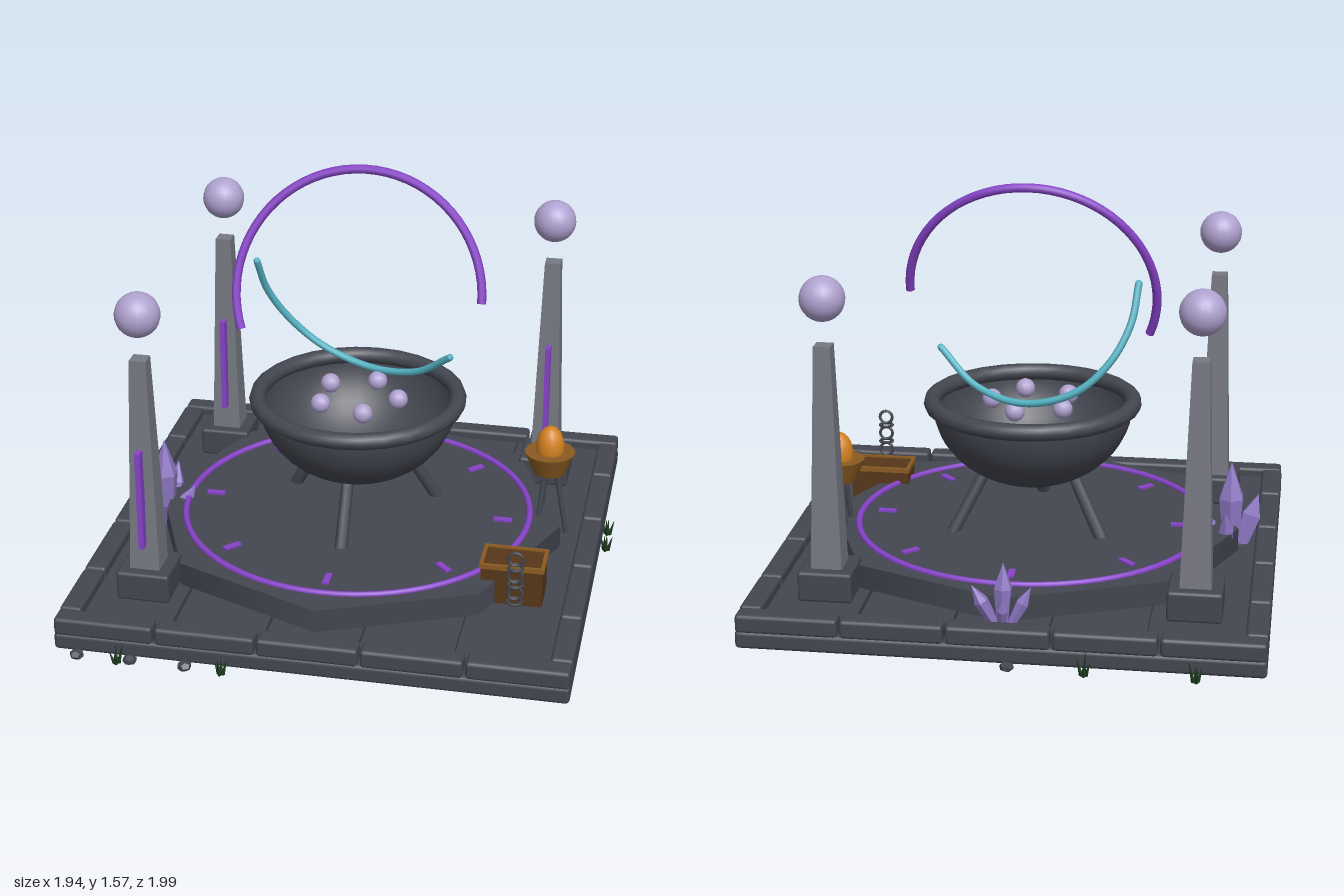
import * as THREE from 'three';
import { RoundedBoxGeometry } from 'three/addons/geometries/RoundedBoxGeometry.js';

const CX = -0.02; // x of the altar's middle

const mat = (name, color, extra = {}) => {
  const m = new THREE.MeshStandardMaterial({ color, ...extra });
  m.name = name;
  return m;
};

export function createModel() {
  const stone = mat('dark stone', 0x444751, { side: THREE.DoubleSide });
  const pillar = mat('grey stone', 0x777983, { flatShading: true });
  const purple = mat('purple glow', 0x8743c8);
  const teal = mat('teal glow', 0x55b3c4);
  const lavender = mat('lavender', 0xb0a2d0);
  const crystalMat = mat('crystal violet', 0x8d76c2, { flatShading: true });
  const orange = mat('ember orange', 0xd4821f);
  const bronze = mat('bronze', 0x8a5a22, { side: THREE.DoubleSide });
  const wood = mat('dark wood', 0x573719);
  const green = mat('dark green', 0x1d3a1f, { flatShading: true });

  const model = new THREE.Group();
  model.name = 'ritualAltar';

  const add = (name, geo, material, x = 0, y = 0, z = 0, parent = model) => {
    const m = new THREE.Mesh(geo, material);
    m.name = name;
    m.position.set(x, y, z);
    parent.add(m);
    return m;
  };
  const group = (name, x, y, z) => {
    const g = new THREE.Group();
    g.name = name;
    g.position.set(x, y, z);
    model.add(g);
    return g;
  };
  // Cylinder between two points
  const rod = (name, a, b, ra, rb, material, parent, sides = 10) => {
    const d = b.clone().sub(a);
    const m = add(name, new THREE.CylinderGeometry(rb, ra, d.length(), sides), material, 0, 0, 0, parent);
    m.position.copy(a).add(b).multiplyScalar(0.5);
    m.quaternion.setFromUnitVectors(new THREE.Vector3(0, 1, 0), d.normalize());
    return m;
  };
  const V = (x, y, z) => new THREE.Vector3(x, y, z);

  // Base: bottom slab, floor planks and a rim of rounded blocks
  const base = group('base', CX, 0, 0);
  add('bottomSlab', new RoundedBoxGeometry(1.89, 0.067, 1.89, 2, 0.015), stone, 0, 0.046, 0, base);
  for (let i = 0; i < 5; i++) {
    const t = i - 2;
    add('floorPlank', new THREE.BoxGeometry(0.335, 0.04, 1.74), stone, t * 0.348, 0.085, 0, base);
    for (const s of [-1, 1]) {
      add('rimBlock', new RoundedBoxGeometry(0.37, 0.07, 0.082, 2, 0.014), stone, t * 0.379, 0.107, s * 0.905, base);
      const side = add('rimBlock', new RoundedBoxGeometry(0.082, 0.07, 0.37, 2, 0.014), stone, s * 0.905, 0.107, t * 0.379, base);
      if (Math.abs(t) === 2) { // shorter ends so corners do not overlap
        side.scale.z = 0.78;
        side.position.z = t * 0.379 - Math.sign(t) * 0.041;
      }
    }
  }

  // Octagonal dais with ritual ring and radial marks
  const dais = group('dais', CX, 0, 0);
  add('octagon', new THREE.CylinderGeometry(0.8, 0.8, 0.09, 8).toNonIndexed(), stone, 0, 0.155, 0, dais);
  add('ritualRing', new THREE.TorusGeometry(0.675, 0.0125, 8, 64).rotateX(Math.PI / 2), purple, 0, 0.202, 0, dais);
  for (let i = 0; i < 8; i++) {
    const a = i * Math.PI / 4;
    const mark = add('ringMark', new THREE.BoxGeometry(0.07, 0.009, 0.025), purple, Math.cos(a) * 0.575, 0.204, Math.sin(a) * 0.575, dais);
    mark.rotation.y = -a;
  }

  // Cauldron: open bowl, rolled rim, three splayed legs, bubbles
  const cauldron = group('cauldron', CX, 0, 0);
  const profile = [];
  for (let i = 0; i <= 14; i++) {
    const a = (i / 14) * Math.PI / 2;
    profile.push(new THREE.Vector2(Math.sin(a) * 0.383, 0.675 - Math.cos(a) * 0.317));
  }
  add('bowl', new THREE.LatheGeometry(profile, 32), stone, 0, 0, 0, cauldron);
  add('rim', new THREE.TorusGeometry(0.386, 0.032, 10, 28).rotateX(Math.PI / 2), stone, 0, 0.682, 0, cauldron);
  for (let i = 0; i < 3; i++) {
    const a = Math.PI / 2 + i * Math.PI * 2 / 3, c = Math.cos(a), s = Math.sin(a);
    rod('cauldronLeg', V(c * 0.33, 0.195, s * 0.33), V(c * 0.18, 0.45, s * 0.18), 0.025, 0.023, stone, cauldron);
  }
  for (let i = 0; i < 5; i++) {
    const a = i * Math.PI * 2 / 5;
    add('bubble', new THREE.SphereGeometry(0.038, 12, 10), lavender, Math.cos(a) * 0.157, 0.685, Math.sin(a) * 0.157, cauldron);
  }

  // Floating energy arcs
  const arc = add('purpleArc', new THREE.TorusGeometry(0.47, 0.017, 8, 40, 3.5), purple, CX, 1.107, 0);
  arc.rotation.x = -0.35;
  const tealPath = new THREE.CatmullRomCurve3([
    V(-0.427, 1.18, -0.075), V(-0.405, 1.04, -0.14), V(-0.33, 0.9, -0.195), V(-0.2, 0.785, -0.213),
    V(0, 0.727, -0.175), V(0.19, 0.765, -0.09), V(0.335, 0.88, 0.005)]);
  add('tealArc', new THREE.TubeGeometry(tealPath, 40, 0.014, 8), teal);
  for (const t of [0, 1]) {
    const cap = add('tealArcCap', new THREE.SphereGeometry(0.014, 8, 6), teal);
    cap.position.copy(tealPath.getPoint(t));
  }

  // Three obelisks with floating orbs
  for (const [x, z] of [[-0.695, -0.605], [0.65, -0.605], [-0.695, 0.605]]) {
    const o = group('obelisk', x, 0, z);
    add('pedestal', new RoundedBoxGeometry(0.2, 0.115, 0.2, 2, 0.012), stone, 0, 0.16, 0, o);
    add('shaft', new THREE.CylinderGeometry(0.031 * Math.SQRT2, 0.057 * Math.SQRT2, 0.84, 4).rotateY(Math.PI / 4), pillar, 0, 0.635, 0, o);
    add('glowStrip', new THREE.BoxGeometry(0.02, 0.39, 0.04), purple, 0, 0.515, 0.068, o);
    add('orb', new THREE.SphereGeometry(0.083, 20, 16), lavender, 0, 1.225, 0, o);
  }

  // Crystal clusters: each crystal runs from a shared foot to its tip
  const crystal = (foot, tip, r, parent) => {
    const d = tip.clone().sub(foot), h = d.length();
    const pts = [[0, 0], [r * 0.65, 0], [r, h * 0.58], [0, h]].map(p => new THREE.Vector2(...p));
    const m = add('crystal', new THREE.LatheGeometry(pts, 6), crystalMat, foot.x, foot.y, foot.z, parent);
    m.quaternion.setFromUnitVectors(V(0, 1, 0), d.normalize());
  };
  const left = group('leftCrystals', -0.79, 0.1, 0.06);
  crystal(V(0, 0, 0), V(0.005, 0.35, 0), 0.052, left);
  crystal(V(-0.04, 0, 0.04), V(-0.1, 0.19, 0.09), 0.04, left);
  crystal(V(0, 0, 0.05), V(0.02, 0.22, 0.14), 0.038, left);
  crystal(V(0.04, 0, 0), V(0.12, 0.15, -0.02), 0.033, left);
  crystal(V(0.01, 0, -0.06), V(0.02, 0.19, -0.14), 0.032, left);
  const back = group('backCrystals', CX, 0.1, -0.79);
  crystal(V(0, 0, 0), V(0, 0.23, 0.01), 0.035, back);
  crystal(V(-0.03, 0, 0), V(-0.1, 0.14, 0.01), 0.025, back);
  crystal(V(0.03, 0, 0), V(0.11, 0.15, -0.02), 0.027, back);
  crystal(V(0, 0, 0.03), V(0.01, 0.15, 0.1), 0.023, back);
  crystal(V(0, 0, -0.02), V(-0.01, 0.12, -0.06), 0.023, back);

  // Brazier on a thin tripod
  const brazier = group('brazier', 0.715, 0, -0.125);
  add('brazierBowl', new THREE.CylinderGeometry(0.098, 0.062, 0.088, 16), bronze, 0, 0.412, 0, brazier);
  add('flame', new THREE.SphereGeometry(0.055, 14, 12).scale(1, 1.6, 1), orange, 0, 0.475, 0, brazier);
  for (let i = 0; i < 3; i++) {
    const a = i * Math.PI * 2 / 3, c = Math.cos(a), s = Math.sin(a);
    rod('brazierLeg', V(c * 0.075, 0.1, s * 0.075), V(c * 0.025, 0.39, s * 0.025), 0.01, 0.01, stone, brazier, 8);
  }

  // Chest with a bronze frame round its top
  const chest = group('chest', 0.65, 0, 0.387);
  add('chestBody', new THREE.BoxGeometry(0.23, 0.155, 0.148), wood, 0, 0.182, 0, chest);
  for (const s of [-1, 1]) {
    add('chestTrim', new THREE.BoxGeometry(0.242, 0.018, 0.014), bronze, 0, 0.258, s * 0.073, chest);
    add('chestTrim', new THREE.BoxGeometry(0.014, 0.018, 0.15), bronze, s * 0.114, 0.258, 0, chest);
  }

  // Upright chain of alternating links
  const chain = group('chain', 0.682, 0, 0.61);
  for (let i = 0; i < 6; i++) {
    const link = add('chainLink', new THREE.TorusGeometry(0.026, 0.006, 6, 16), stone, 0, 0.21 + i * 0.035, 0, chain);
    if (i % 2 === 0) link.rotation.x = Math.PI / 2;
  }

  // Pebbles and grass tufts around the foot of the base
  for (const [x, z] of [[-0.87, 0.97], [-0.67, 0.968], [-0.465, 0.97], [-0.06, -0.972]]) {
    const p = add('pebble', new THREE.DodecahedronGeometry(0.027), stone, x, 0.018, z);
    p.scale.y = 0.7;
    p.rotation.y = x * 9;
  }
  for (const [x, z] of [[-0.72, 0.97], [-0.33, 0.97], [-0.72, -0.97], [-0.33, -0.97], [0.94, -0.33], [0.945, -0.2]]) {
    const tuft = group('grassTuft', x, 0, z);
    for (let i = 0; i < 4; i++) {
      const a = i * 1.7 + x * 5;
      rod('grassBlade', V(Math.cos(a) * 0.008, 0, Math.sin(a) * 0.008),
        V(Math.cos(a) * 0.024, 0.05 + (i % 3) * 0.012, Math.sin(a) * 0.024), 0.008, 0.001, green, tuft, 4);
    }
  }
  return model;
}
